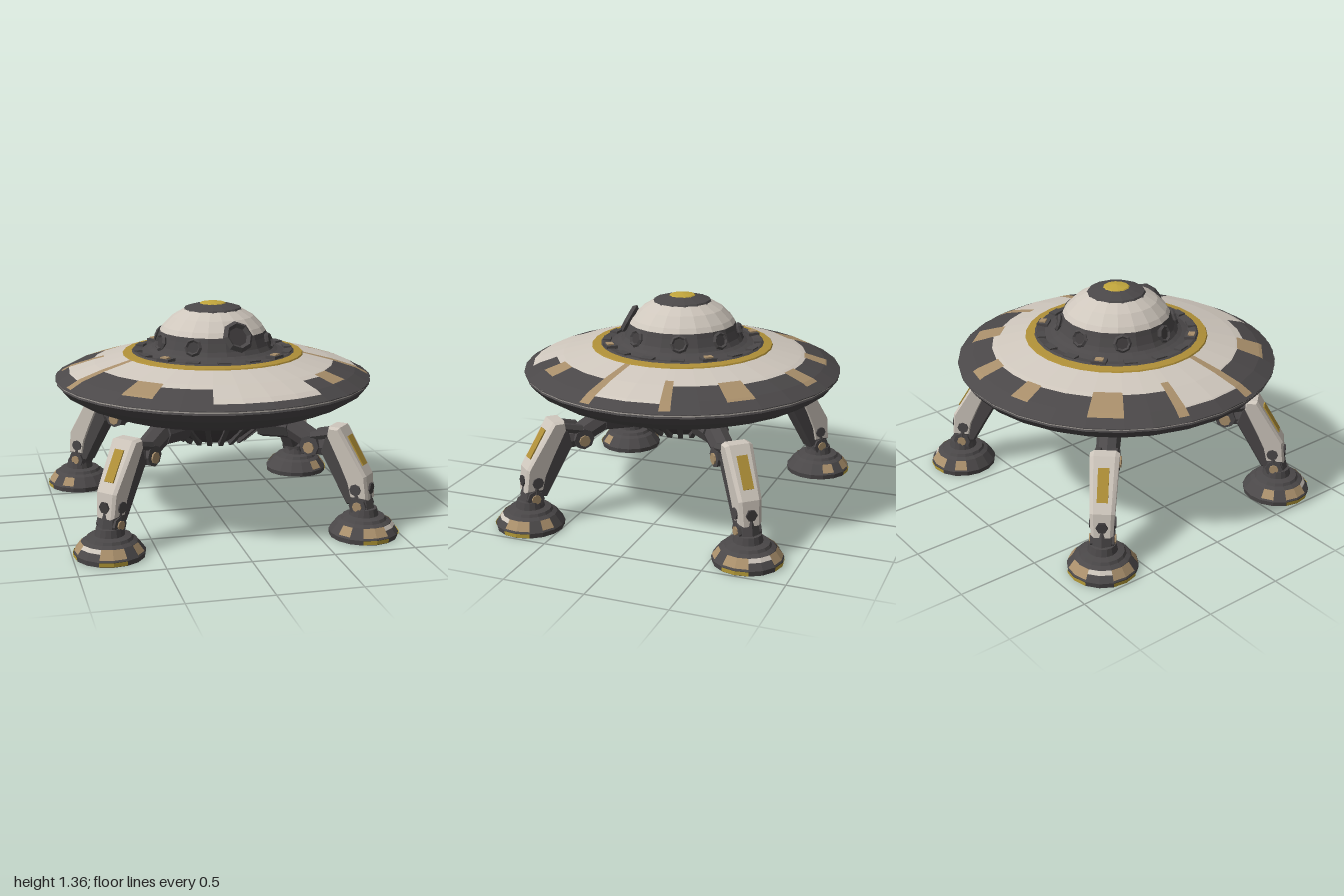
import * as THREE from 'three';

const flat = (name, color) => {
  const m = new THREE.MeshStandardMaterial({ color, flatShading: true, side: THREE.DoubleSide });
  m.name = name;
  return m;
};
const cream = flat('cream', 0xcfc7bd), dark = flat('charcoal', 0x4b4849), deep = flat('deepCharcoal', 0x403d3e);
const tan = flat('tan', 0xa98f6b), gold = flat('gold', 0xb09038), bright = flat('brightGold', 0xc2a63c);
const grey = flat('rimGrey', 0x8c8782);
const rad = THREE.MathUtils.degToRad;

function add(parent, name, geo, mat, x = 0, y = 0, z = 0) {
  const m = new THREE.Mesh(geo, mat);
  m.name = name;
  m.position.set(x, y, z);
  parent.add(m);
  return m;
}

// surface of revolution, angles measured from +x towards +z; points run upwards
function turn(parent, name, pts, mat, a0 = 0, a1 = 360, sides = 30) {
  const n = Math.max(1, Math.round((a1 - a0) / 360 * sides));
  const geo = new THREE.LatheGeometry(pts.map(p => new THREE.Vector2(...p)), n, rad(90 - a1), rad(a1 - a0));
  return add(parent, name, geo, mat);
}

// tapered limb between two points of a leg's plane
function limb(parent, name, [x0, y0], [x1, y1], r0, r1, mat, sides = 8) {
  const len = Math.hypot(x1 - x0, y1 - y0);
  const m = add(parent, name, new THREE.CylinderGeometry(r1, r0, len, sides), mat, (x0 + x1) / 2, (y0 + y1) / 2);
  m.rotation.z = Math.atan2(y1 - y0, x1 - x0) - Math.PI / 2;
  return m;
}

// upper skin of the saucer, outside to inside
const skin = [[0.995, 0.893], [0.9, 0.943], [0.75, 0.99], [0.56, 1.036], [0.5, 1.046]];
function skinY(r) {
  for (let i = 0; i < skin.length - 1; i++) {
    const [ra, ya] = skin[i], [rb, yb] = skin[i + 1];
    if (r <= ra && r >= rb) return ya + (yb - ya) * (ra - r) / (ra - rb);
  }
  return skin[0][1];
}
const skinSlice = (outer, inner) =>
  [[outer, skinY(outer)], ...skin.filter(p => p[0] < outer && p[0] > inner), [inner, skinY(inner)]];

// painted sectors: start angle, end angle, inner radius, outer radius, colour
const sectors = [
  [-13, 12, 0.92, 0.93, dark], [12, 16, 0.56, 0.98, tan], [16, 40, 0.76, 0.99, dark],
  [40, 50, 0.76, 0.89, tan], [50, 61, 0.79, 0.99, dark], [61, 103, 0.94, 0.95, dark],
  [103, 125, 0.8, 0.99, dark], [125, 138, 0.76, 0.92, tan], [138, 163, 0.76, 0.99, dark],
  [163, 167, 0.56, 0.98, tan], [167, 192, 0.91, 0.92, dark], [192, 196, 0.69, 0.96, tan],
  [196, 215, 0.76, 0.99, dark], [215, 228, 0.74, 0.93, tan], [228, 252, 0.78, 0.99, dark],
  [252, 260, 0.77, 0.91, tan], [260, 279, 0.78, 0.99, dark], [279, 287, 0.77, 0.93, tan],
  [287, 312, 0.78, 0.99, dark], [312, 323, 0.74, 0.92, tan], [323, 343, 0.76, 0.99, dark],
  [343, 347, 0.7, 0.97, tan],
];

function buildSaucer(root) {
  const g = new THREE.Group();
  g.name = 'saucer';
  root.add(g);
  for (const [a0, a1, r0, r1, mat] of sectors) {
    turn(g, 'topPanel', skinSlice(r0, 0.56), cream, a0, a1);
    turn(g, 'paintedPanel', skinSlice(r1, r0), mat, a0, a1);
    turn(g, 'rimPanel', skinSlice(0.995, r1), dark, a0, a1);
  }
  turn(g, 'goldRing', [[0.57, 1.035], [0.565, 1.043], [0.51, 1.05]], gold);
  turn(g, 'underside', [[0.38, 0.665], [0.56, 0.675], [0.72, 0.71], [0.86, 0.765], [0.95, 0.82], [0.99, 0.868], [0.985, 0.878]], dark);
  turn(g, 'rimBand', [[0.983, 0.876], [0.99, 0.88], [0.985, 0.888]], grey);
  turn(g, 'rimLip', [[0.985, 0.886], [0.996, 0.889], [0.995, 0.894]], dark);

  // ribbed belly
  turn(g, 'belly', [[0, 0.485], [0.19, 0.49], [0.25, 0.525], [0.33, 0.585], [0.41, 0.672]], deep, 0, 360, 20);
  for (let i = 0; i < 20; i++) {
    const arm = new THREE.Group();
    arm.name = 'bellyRib';
    arm.rotation.y = i * Math.PI / 10;
    g.add(arm);
    add(arm, 'rib', new THREE.BoxGeometry(0.27, 0.03, 0.03), dark, 0.315, 0.575, 0).rotation.z = 0.71;
  }
}

function buildDome(root) {
  const g = new THREE.Group();
  g.name = 'dome';
  root.add(g);
  turn(g, 'collar', [[0.52, 1.045], [0.5, 1.058], [0.45, 1.05], [0.41, 1.062], [0.385, 1.075]], dark);
  turn(g, 'domeBase', [[0.39, 1.065], [0.365, 1.1], [0.345, 1.15], [0.335, 1.18]], dark, 0, 360, 20);
  turn(g, 'domeShell', [[0.335, 1.18], [0.315, 1.21], [0.255, 1.27], [0.18, 1.313]], cream, 0, 360, 20);
  turn(g, 'domeCap', [[0.185, 1.308], [0.175, 1.323], [0.12, 1.338], [0.08, 1.347]], dark, 0, 360, 14);
  turn(g, 'beacon', [[0.088, 1.342], [0.075, 1.352], [0, 1.362]], bright, 0, 360, 12);

  // portholes: angle, distance from the axis, height, size, upward tilt
  const ports = [[76, 0.325, 1.18, 0.08, 0.5]];
  for (const a of [30, 122, 165, 212, 255, 300, 342]) ports.push([a, 0.355, 1.125, 0.045, 0.3]);
  for (const [a, r, y, size, tilt] of ports) {
    const p = new THREE.Group();
    p.name = 'porthole';
    p.rotation.y = -rad(a);
    g.add(p);
    const seat = new THREE.Group();
    seat.position.set(r, y, 0);
    seat.rotation.z = tilt - Math.PI / 2;
    p.add(seat);
    add(seat, 'portFrame', new THREE.TorusGeometry(size, size * 0.28, 4, 8), dark, 0, 0.01).rotation.x = Math.PI / 2;
    add(seat, 'portGlass', new THREE.CylinderGeometry(size, size * 1.1, 0.04, 8), deep, 0, -0.008);
  }

  // lamps and clamps on the collar
  for (let i = 0; i < 16; i++) {
    const p = new THREE.Group();
    p.name = 'collarFitting';
    p.rotation.y = -rad(50 + i * 22.5);
    g.add(p);
    if (i % 4 === 0) {
      add(p, 'lampSeat', new THREE.BoxGeometry(0.07, 0.03, 0.09), dark, 0.47, 1.055);
      add(p, 'lamp', new THREE.BoxGeometry(0.04, 0.02, 0.05), tan, 0.475, 1.068);
    } else add(p, 'clamp', new THREE.BoxGeometry(0.05, 0.02, 0.08), dark, 0.475, 1.055);
  }
}

// extruded side profile, narrowing towards the ankle
function plate(pts, width) {
  const shape = new THREE.Shape(pts.map(p => new THREE.Vector2(...p)));
  const geo = new THREE.ExtrudeGeometry(shape, {
    depth: width, bevelEnabled: true, bevelSize: 0.012, bevelThickness: 0.025, bevelSegments: 1,
  });
  geo.translate(0, 0, -width / 2);
  const p = geo.attributes.position;
  for (let i = 0; i < p.count; i++) p.setZ(i, p.getZ(i) * (0.75 + 0.25 * (p.getY(i) - 0.24) / 0.42));
  geo.computeVertexNormals();
  return geo;
}

// leg built in a plane, local +x pointing away from the hull
function buildLeg(root, sx, sz) {
  const g = new THREE.Group();
  g.name = 'leg';
  g.rotation.y = -Math.atan2(sz * 0.705, sx * 0.78);
  root.add(g);
  limb(g, 'hipMount', [0.36, 0.63], [0.56, 0.63], 0.1, 0.085, dark);
  limb(g, 'hipArm', [0.52, 0.64], [0.72, 0.54], 0.075, 0.07, dark);
  limb(g, 'elbowLink', [0.68, 0.53], [0.9, 0.52], 0.065, 0.06, dark);
  const axle = (name, x, y, r, len, mat) =>
    add(g, name, new THREE.CylinderGeometry(r, r, len, 8), mat, x, y).rotation.x = Math.PI / 2;
  axle('elbowJoint', 0.71, 0.53, 0.065, 0.15, dark);
  axle('elbowBolt', 0.71, 0.52, 0.036, 0.17, tan);
  for (const s of [-1, 1]) limb(g, 'forkProng', [0.72, 0.59], [0.88, 0.63], 0.03, 0.03, dark, 6).position.z = s * 0.05;

  // thigh with cream armour
  add(g, 'thighCore', plate([[0.82, 0.6], [0.79, 0.5], [0.87, 0.36], [0.96, 0.2], [1.05, 0.2], [1.04, 0.36], [0.92, 0.56]], 0.1), dark);
  add(g, 'thighArmour', plate([[0.845, 0.655], [0.835, 0.61], [0.92, 0.44], [0.97, 0.33], [0.99, 0.245], [1.085, 0.245], [1.07, 0.38], [0.9, 0.655]], 0.125), cream);
  add(g, 'goldStripe', new THREE.BoxGeometry(0.008, 0.2, 0.065), gold, 0.998, 0.528, 0).rotation.z = 0.546;
  add(g, 'kneeBolt', new THREE.CylinderGeometry(0.036, 0.036, 0.03, 6), deep, 1.086, 0.3).rotation.z = -Math.PI / 2;
  axle('kneeAxle', 1.02, 0.295, 0.036, 0.155, dark);

  // ankle and foot
  limb(g, 'ankle', [1.025, 0.27], [1.05, 0.11], 0.07, 0.08, dark);
  axle('ankleJoint', 1.035, 0.19, 0.055, 0.14, dark);
  axle('ankleBolt', 1.035, 0.19, 0.03, 0.158, tan);
  const foot = new THREE.Group();
  foot.name = 'foot';
  foot.position.x = 1.051;
  g.add(foot);
  turn(foot, 'footPad', [[0, 0], [0.208, 0], [0.212, 0.03], [0.165, 0.092], [0.14, 0.105], [0.13, 0.122], [0.09, 0.13], [0.08, 0.175], [0, 0.185]], dark, 0, 360, 16);
  const low = [[0.213, 0.004], [0.217, 0.03]], high = [[0.208, 0.042], [0.17, 0.092]];
  for (const c of [-45, 45]) {
    turn(foot, 'tanPatch', high, tan, c - 22.5, c + 22.5, 16);
    turn(foot, 'goldPatch', low, bright, c - 22.5, c + 22.5, 16);
  }
  turn(foot, 'creamPatch', [[0.187, 0.07], [0.17, 0.092]], cream, -22.5, 22.5, 16);
  for (const a of [-112.5, 90]) turn(foot, 'sidePatch', high, tan, a, a + 22.5, 16);
}

export function createModel() {
  const root = new THREE.Group();
  root.name = 'landedSaucer';
  buildSaucer(root);
  buildDome(root);
  for (const sx of [-1, 1]) for (const sz of [-1, 1]) buildLeg(root, sx, sz);
  return root;
}
